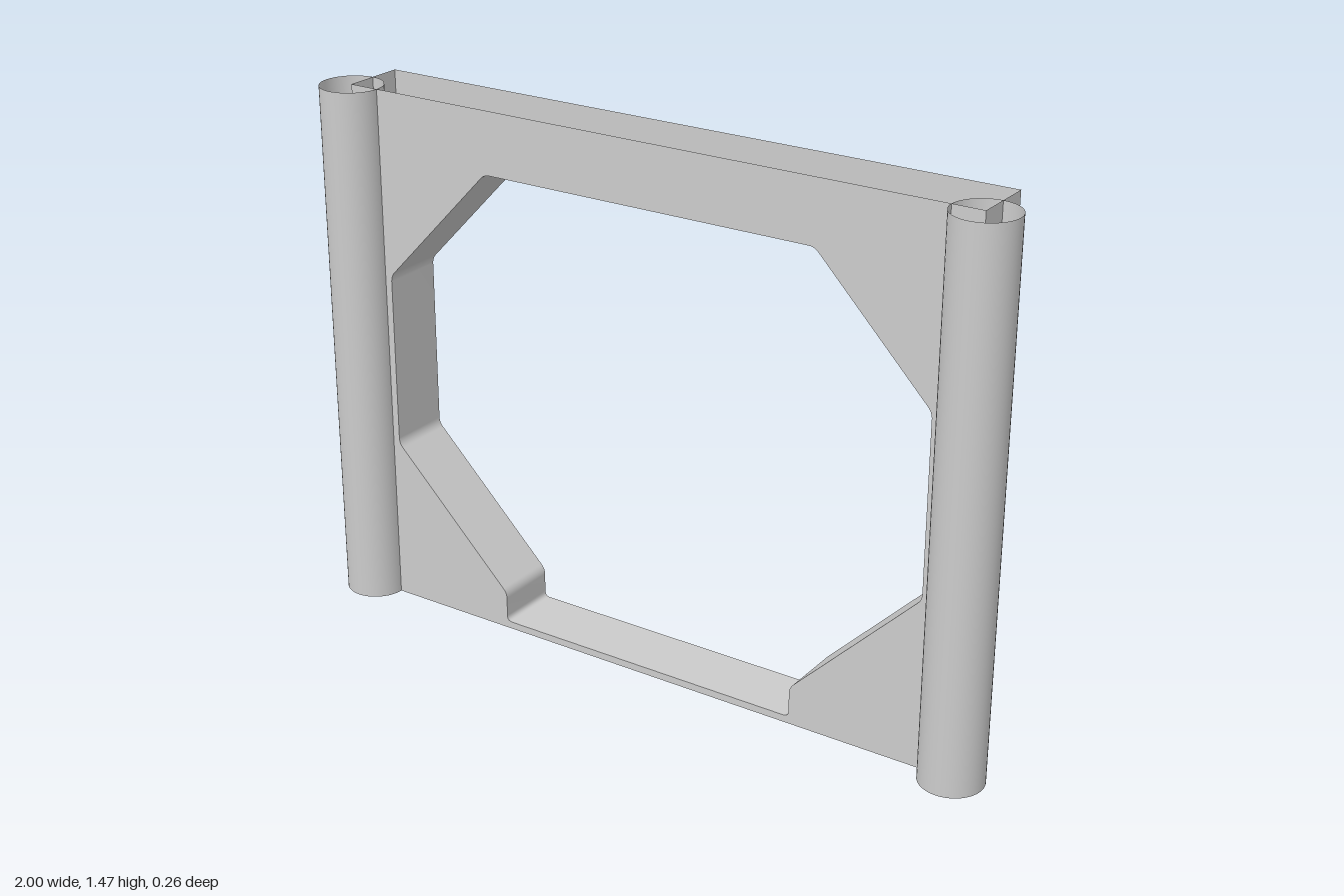
import * as THREE from 'three';

const HEIGHT = 1.465, HALF = 0.915, FRONT = 0.045, BACK = -0.13, RADIUS = 0.085;

// Closed path through the corners, each softened by a small curve
function roundedPath(corners, cut) {
  const path = new THREE.Path();
  const n = corners.length;
  corners.forEach((c, i) => {
    const prev = corners[(i + n - 1) % n], next = corners[(i + 1) % n];
    const a = c.clone().add(prev.clone().sub(c).setLength(cut));
    const b = c.clone().add(next.clone().sub(c).setLength(cut));
    if (i === 0) path.moveTo(a.x, a.y);
    else path.lineTo(a.x, a.y);
    path.quadraticCurveTo(c.x, c.y, b.x, b.y);
  });
  path.closePath();
  return path;
}

// Smooth band that carries a closed outline from the back to the front
function band(points) {
  const positions = [], index = [], n = points.length;
  points.forEach((p, i) => {
    positions.push(p.x, p.y, BACK, p.x, p.y, FRONT);
    const a = 2 * i, b = 2 * ((i + 1) % n);
    index.push(a, a + 1, b, b, a + 1, b + 1);
  });
  const geometry = new THREE.BufferGeometry();
  geometry.setAttribute('position', new THREE.Float32BufferAttribute(positions, 3));
  geometry.setIndex(index);
  geometry.computeVertexNormals();
  return geometry;
}

export function createModel() {
  const group = new THREE.Group();
  const material = new THREE.MeshStandardMaterial({ color: 0xcccccc, side: THREE.DoubleSide });
  const add = (name, geometry) => {
    const mesh = new THREE.Mesh(geometry, material);
    mesh.name = name;
    group.add(mesh);
    return mesh;
  };

  // Outline of the opening, mirrored from its left half, counter-clockwise
  const half = [[0.45, 0.02], [0.45, 0.105], [0.81, 0.465], [0.81, 0.955], [0.485, 1.295]];
  const corners = [
    ...half.map(([x, y]) => new THREE.Vector2(x, y)),
    ...half.slice().reverse().map(([x, y]) => new THREE.Vector2(-x, y)),
  ];
  const opening = roundedPath(corners, 0.016);

  // Front and back panels of the hollow frame
  const panel = new THREE.Shape([
    new THREE.Vector2(-HALF, 0), new THREE.Vector2(HALF, 0),
    new THREE.Vector2(HALF, HEIGHT), new THREE.Vector2(-HALF, HEIGHT),
  ]);
  panel.holes.push(opening);
  add('frontPanel', new THREE.ShapeGeometry(panel, 5)).position.z = FRONT;
  const back = add('backPanel', new THREE.ShapeGeometry(panel, 5));
  back.rotation.y = Math.PI;
  back.position.z = BACK;

  // Inner walls of the opening, without the repeated closing point
  const outline = opening.getPoints(5);
  if (outline[0].distanceTo(outline[outline.length - 1]) < 1e-6) outline.pop();
  add('openingWalls', band(outline));

  // Side walls and open-ended posts; the frame is open at top and bottom
  for (const [side, s] of [['left', 1], ['right', -1]]) {
    const wall = add(side + 'SideWall', new THREE.PlaneGeometry(FRONT - BACK, HEIGHT));
    wall.rotation.y = s * Math.PI / 2;
    wall.position.set(s * HALF, HEIGHT / 2, (FRONT + BACK) / 2);
    const post = add(side + 'Post', new THREE.CylinderGeometry(RADIUS, RADIUS, HEIGHT, 48, 1, true));
    post.position.set(s * HALF, HEIGHT / 2, FRONT);
  }
  return group;
}
